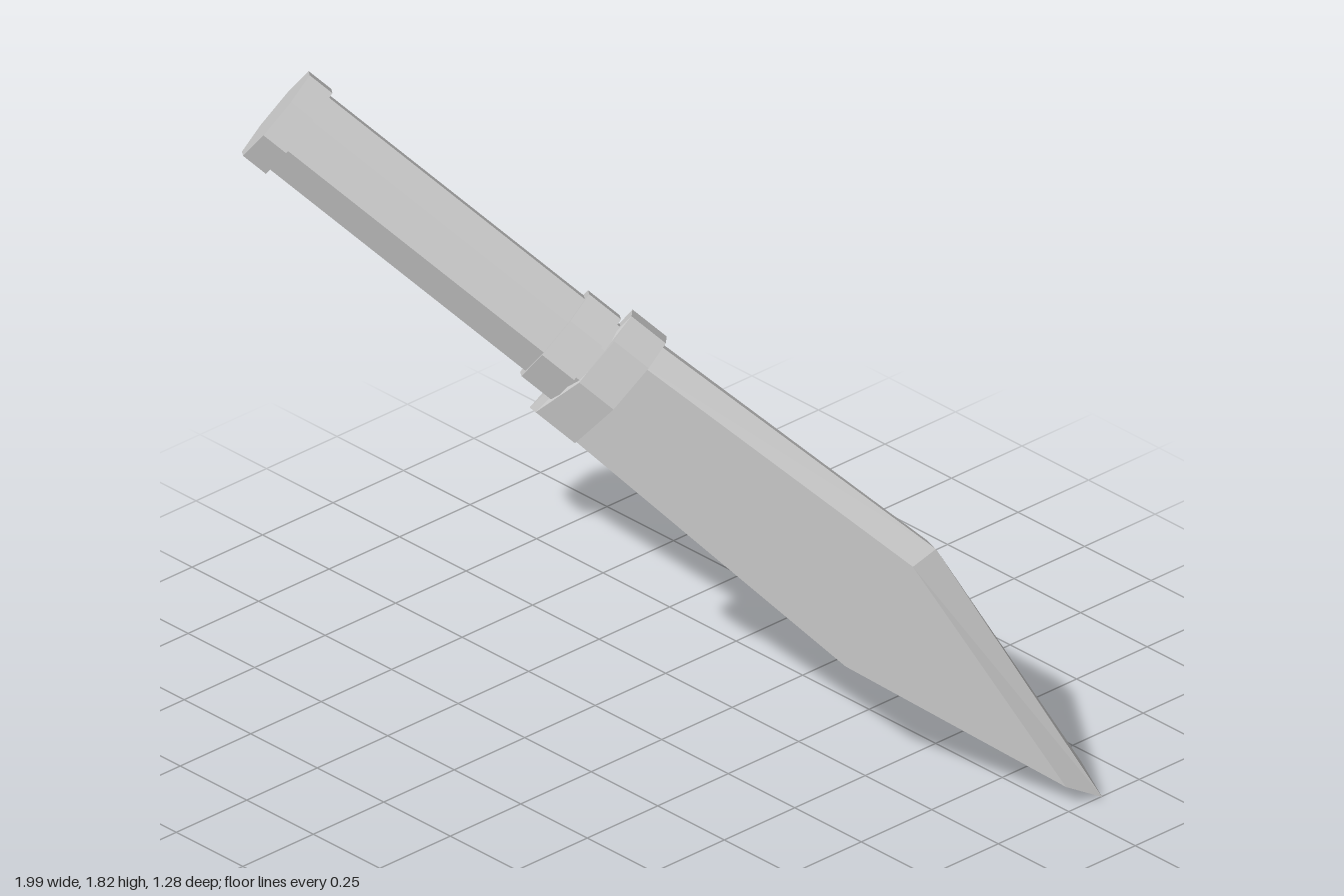
import * as THREE from 'three';

const material = new THREE.MeshStandardMaterial({ color: 0xcccccc, flatShading: true });

// Skin matching rings of points (counter-clockwise about the loft direction) and cap both ends
function loft(name, rings) {
  const count = rings[0].length;
  const positions = rings.flat(2);
  const index = [];
  for (let r = 0; r < rings.length - 1; r++) {
    for (let i = 0; i < count; i++) {
      const a = r * count + i, b = r * count + (i + 1) % count;
      index.push(a, b, b + count, a, b + count, a + count);
    }
  }
  const last = (rings.length - 1) * count;
  for (let i = 1; i < count - 1; i++) {
    index.push(0, i + 1, i, last, last + i, last + i + 1);
  }
  const indexed = new THREE.BufferGeometry();
  indexed.setAttribute('position', new THREE.Float32BufferAttribute(positions, 3));
  indexed.setIndex(index);
  const geometry = indexed.toNonIndexed();
  geometry.computeVertexNormals();
  const mesh = new THREE.Mesh(geometry, material);
  mesh.name = name;
  return mesh;
}

// Oval octagon across the knife's length, with a corner at the top
function octagon(x, height, width) {
  return Array.from({ length: 8 }, (_, i) => {
    const t = i * Math.PI / 4;
    return [x, height * Math.cos(t), width * Math.sin(t)];
  });
}

export function createModel() {
  const group = new THREE.Group();
  group.name = 'knife';

  // Handle parts, running along x towards the blade
  group.add(
    loft('pommel', [octagon(-1.275, 0.155, 0.121), octagon(-1.2, 0.155, 0.121)]),
    loft('handle', [octagon(-1.22, 0.138, 0.107), octagon(-0.33, 0.138, 0.107)]),
    loft('bolster', [octagon(-0.355, 0.158, 0.121), octagon(-0.25, 0.158, 0.121)]),
    loft('handleCore', [octagon(-0.27, 0.138, 0.105), octagon(-0.22, 0.138, 0.105)])
  );

  // Guard: tall plate, its lower end swept back a little
  const outline = [
    [0.185, 0], [0.148, 0.088], [0, 0.115], [-0.17, 0.088],
    [-0.225, 0], [-0.17, -0.088], [0, -0.115], [0.148, -0.088]
  ];
  const guardRing = (x, sweep) => outline.map(([y, z]) => [x + Math.min(0, y) * sweep, y, z]);
  group.add(loft('guard', [guardRing(-0.235, 0.18), guardRing(-0.122, 0.08)]));

  // Blade: two flat faces bevelled to a ridge all the way round
  const face = [[-0.18, 0.13], [-0.18, -0.173], [0.776, -0.204], [1.412, -0.077], [0.735, 0.161]];
  const ridge = [[-0.18, 0.167], [-0.18, -0.2], [0.797, -0.228], [1.507, -0.078], [0.757, 0.202]];
  const layer = (points, z) => points.map(([x, y]) => [x, y, z]);
  group.add(loft('blade', [layer(face, -0.072), layer(ridge, 0), layer(face, 0.072)]));

  // Turn the knife to its slanted pose, tip down
  group.rotation.set(0, 0.546, -0.625, 'YXZ');
  group.position.set(-0.003, 0.949, -0.005);
  const model = new THREE.Group();
  model.add(group);
  return model;
}
